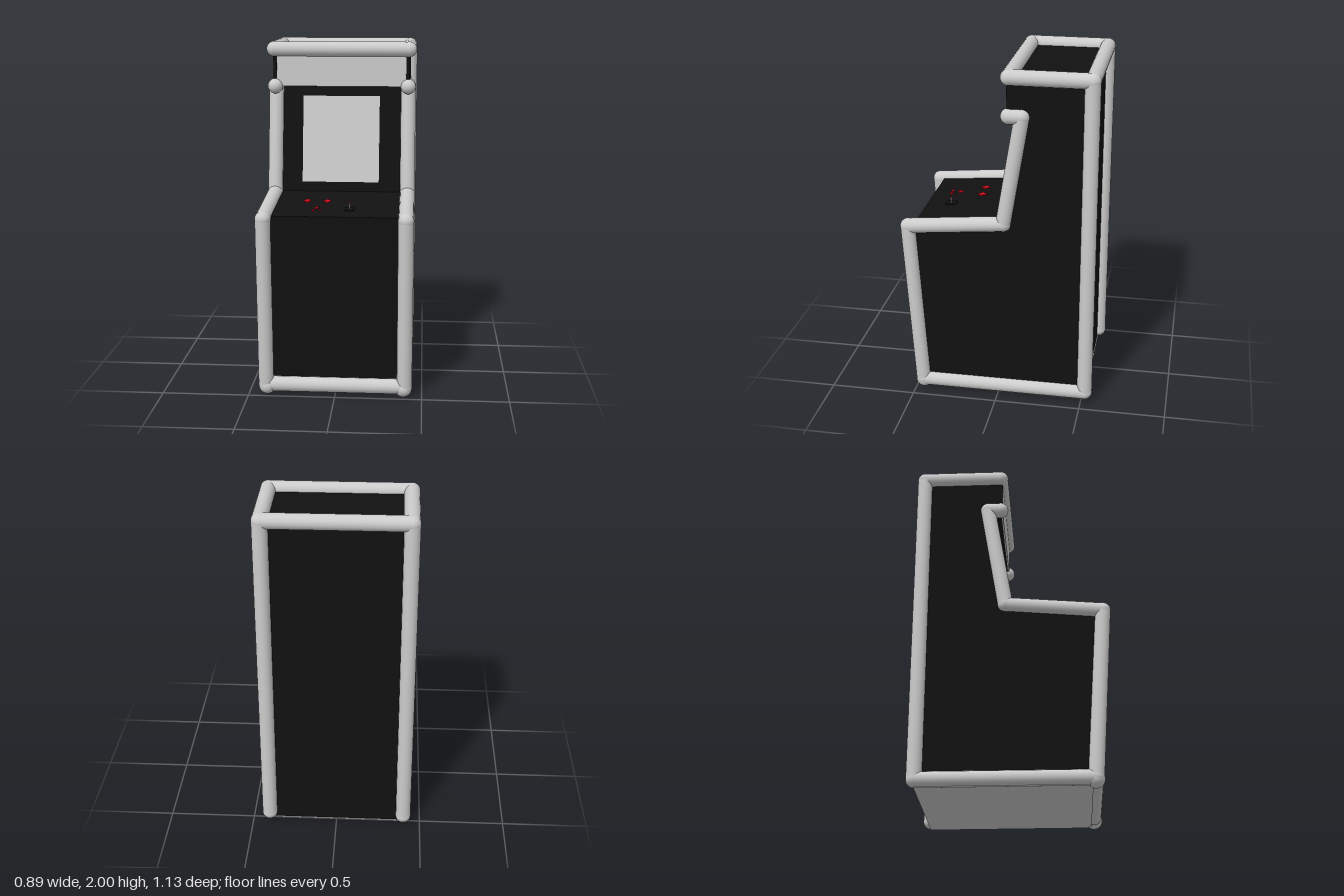
import * as THREE from 'three';

const R = 0.044; // radius of the frame tubes
const X = 0.4; // x of the side frames

export function createModel() {
  const root = new THREE.Group();
  const grey = new THREE.MeshStandardMaterial({ color: 0xcccccc });
  const black = new THREE.MeshStandardMaterial({ color: 0x111111 });
  const red = new THREE.MeshStandardMaterial({ color: 0xe01020 });

  const add = (parent, name, geometry, material, x = 0, y = 0, z = 0) => {
    const mesh = new THREE.Mesh(geometry, material);
    mesh.name = name;
    mesh.position.set(x, y, z);
    parent.add(mesh);
    return mesh;
  };

  // Slab with a side profile of [z, y] points, centred on x
  const slab = (name, profile, width, x) => {
    const shape = new THREE.Shape(profile.map(([z, y]) => new THREE.Vector2(z, y)));
    const geometry = new THREE.ExtrudeGeometry(shape, { depth: width, bevelEnabled: false });
    geometry.translate(0, 0, -width / 2).rotateY(-Math.PI / 2);
    return add(root, name, geometry, black, x);
  };

  // Round tube through [x, y, z] points with ball joints
  const tube = (name, points) => {
    const group = new THREE.Group();
    group.name = name;
    const up = new THREE.Vector3(0, 1, 0);
    const path = points.map((p) => new THREE.Vector3(...p));
    path.forEach((p, i) => {
      add(group, 'joint', new THREE.SphereGeometry(R + 0.001, 24, 16), grey, p.x, p.y, p.z);
      if (i === 0) return;
      const dir = p.clone().sub(path[i - 1]);
      const mid = p.clone().add(path[i - 1]).multiplyScalar(0.5);
      const rod = add(group, 'rod', new THREE.CylinderGeometry(R, R, dir.length(), 24, 1, true), grey, mid.x, mid.y, mid.z);
      rod.quaternion.setFromUnitVectors(up, dir.normalize());
    });
    root.add(group);
  };

  // Cabinet core, slightly recessed behind the frame
  slab('cabinet', [
    [-0.515, 0.02], [0.425, 0.02], [0.49, 1.06], [-0.045, 1.105],
    [-0.157, 1.735], [-0.06, 1.735], [-0.055, 1.95], [-0.515, 1.95],
  ], 0.77, 0);

  for (const s of [-1, 1]) {
    // Side panels follow the frame outline
    slab('sidePanel', [
      [-0.52, 0.016], [0.45, 0.016], [0.52, 1.05], [-0.03, 1.1],
      [-0.135, 1.735], [-0.055, 1.735], [-0.05, 1.955], [-0.52, 1.955],
    ], 0.02, s * 0.395);

    // Side frame: curled top end, screen edge, control edge, front, base, back and top
    tube('sideFrame', [
      [s * 0.395, 1.736, -0.062], [s * 0.395, 1.736, -0.137], [s * 0.397, 1.1, -0.032],
      [s * X, 1.05, 0.523], [s * X, 0.058, 0.457], [s * X, 0.06, -0.52],
      [s * X, 1.955, -0.52], [s * X, 1.955, -0.062],
    ]);
    add(root, 'foot', new THREE.SphereGeometry(0.05, 24, 16), grey, s * 0.393, 0.05, 0.455);
  }

  // Cross tubes
  for (const [name, y, z] of [
    ['frontBaseTube', 0.06, 0.455], ['topFrontTube', 1.955, -0.062], ['topBackTube', 1.955, -0.52],
  ]) tube(name, [[-X, y, z], [X, y, z]]);

  add(root, 'basePlate', new THREE.BoxGeometry(0.82, 0.008, 0.96), grey, 0, 0.016, -0.04);

  // Lit sign above the screen
  add(root, 'signPanel', new THREE.BoxGeometry(0.765, 0.18, 0.01), grey, 0, 1.826, -0.056);

  // Screen, leaning back
  const screen = add(root, 'screen', new THREE.BoxGeometry(0.46, 0.5175, 0.012), grey, -0.005, 1.415, -0.1);
  screen.rotation.x = -Math.atan2(0.11, 0.63);

  // Controls on the sloping panel
  const controls = new THREE.Group();
  controls.name = 'controls';
  controls.position.set(0, 1.06, 0.49);
  controls.rotation.x = Math.atan2(0.045, 0.535);
  root.add(controls);
  for (const x of [-0.182, -0.064]) {
    const knob = add(controls, 'diamondButton', new THREE.CylinderGeometry(1, 1, 1, 4), red, x, 0.003, -0.31);
    knob.scale.set(0.024, 0.008, 0.03);
  }
  for (const [x, z, w, d] of [[-0.115, -0.165, 0.018, 0.028], [-0.13, -0.112, 0.012, 0.02], [-0.09, -0.112, 0.012, 0.02]]) {
    add(controls, 'button', new THREE.BoxGeometry(w, 0.01, d), red, x, 0.003, z);
  }
  add(controls, 'joystickBase', new THREE.BoxGeometry(0.052, 0.008, 0.065), black, 0.075, 0.003, -0.15);
  add(controls, 'joystickStick', new THREE.CylinderGeometry(0.004, 0.004, 0.036, 8), grey, 0.075, 0.022, -0.15);
  add(controls, 'joystickTip', new THREE.SphereGeometry(0.005, 8, 6), red, 0.075, 0.04, -0.15);

  return root;
}
